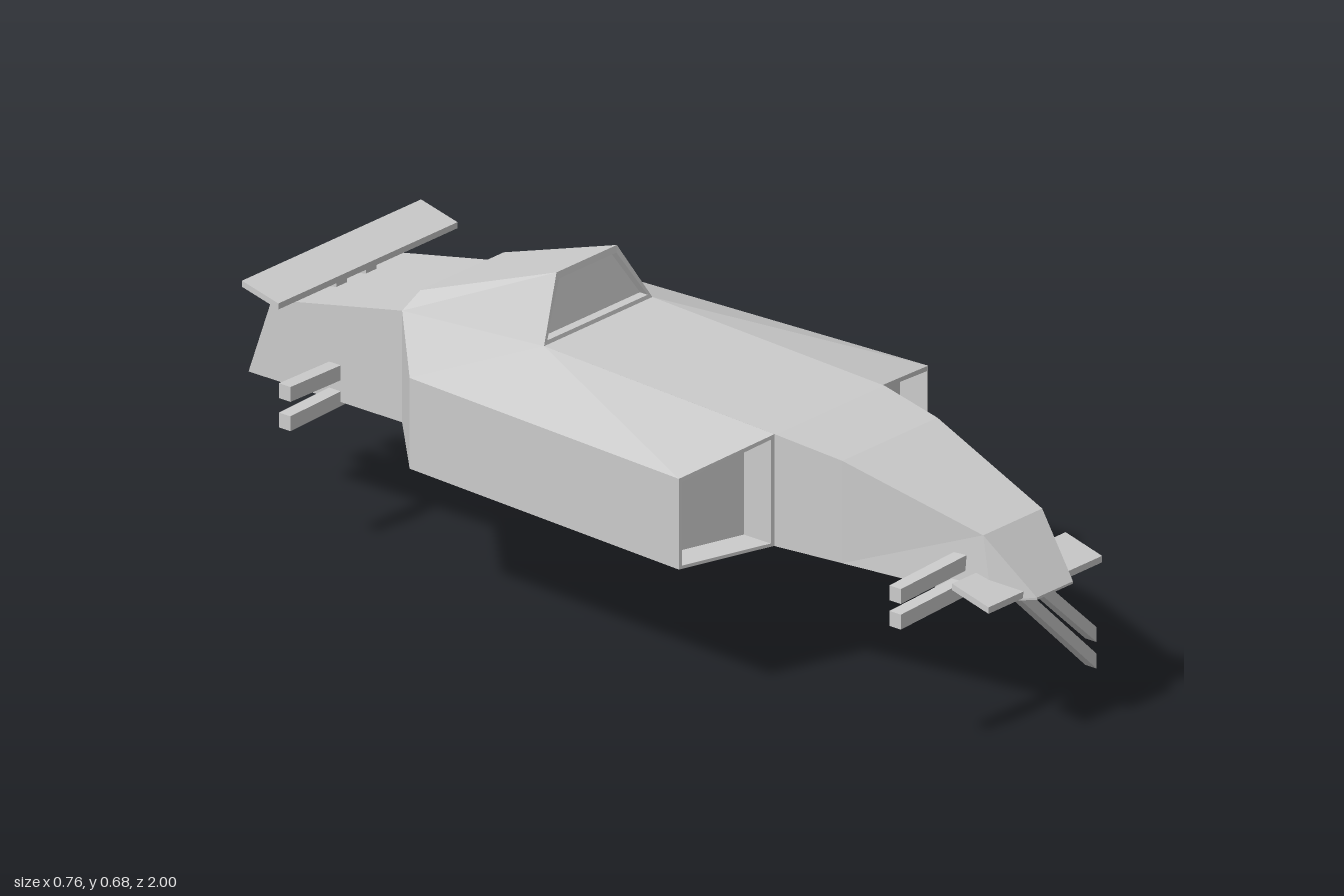
import * as THREE from 'three';

const material = new THREE.MeshStandardMaterial({ color: 0xcccccc, flatShading: true });

// Skins a list of rings (counter-clockwise seen from the front) and caps both ends.
// side = -1 mirrors the part across x.
function loft(name, rings, side = 1) {
  const positions = [];
  const addFace = (pts) => {
    for (let i = 1; i < pts.length - 1; i++) {
      const tri = [pts[0], pts[i], pts[i + 1]].map(([x, y, z]) => new THREE.Vector3(side * x, y, z));
      if (side < 0) tri.reverse();
      if (new THREE.Triangle(...tri).getArea() < 1e-7) continue;
      tri.forEach((v) => positions.push(v.x, v.y, v.z));
    }
  };
  addFace(rings[0]);
  for (let k = 0; k < rings.length - 1; k++) {
    const r = rings[k], q = rings[k + 1], n = r.length;
    for (let i = 0; i < n; i++) {
      const j = (i + 1) % n;
      addFace([r[i], q[i], q[j], r[j]]);
    }
  }
  addFace([...rings[rings.length - 1]].reverse());
  const geometry = new THREE.BufferGeometry();
  geometry.setAttribute('position', new THREE.Float32BufferAttribute(positions, 3));
  geometry.computeVertexNormals();
  const mesh = new THREE.Mesh(geometry, material);
  mesh.name = name;
  return mesh;
}

// Symmetric four-point ring: bottom and top edges given as [half width, y, z].
const ring = ([wb, yb, zb], [wt, yt, zt]) => [[-wb, yb, zb], [wb, yb, zb], [wt, yt, zt], [-wt, yt, zt]];

// Sideways bar with vertical ends, running from (x0, y0) to (x1, y1).
function bar(name, x0, y0, x1, y1, z, side) {
  const h = 0.016, d = 0.015;
  const outline = (zz) => [[x0, y0 - h, zz], [x1, y1 - h, zz], [x1, y1 + h, zz], [x0, y0 + h, zz]];
  return loft(name, [outline(z + d), outline(z - d)], side);
}

// Thin tilted plate spanning both sides.
function plate(name, w, t, [z0, y0], [z1, y1]) {
  return loft(name, [
    ring([w, y0 - t, z0], [w, y0, z0]),
    ring([w, y1 - t, z1], [w, y1, z1]),
  ]);
}

export function createModel() {
  const model = new THREE.Group();
  model.name = 'hoverVehicle';

  // Central hull, nose to tail
  model.add(loft('hull', [
    ring([0.055, 0.3, 1], [0.055, 0.305, 1]),
    ring([0.1, 0.29, 0.92], [0.09, 0.42, 0.89]),
    ring([0.145, 0.29, 0.57], [0.145, 0.51, 0.57]),
    ring([0.165, 0.29, 0.415], [0.165, 0.53, 0.415]),
    ring([0.165, 0.29, -0.19], [0.165, 0.555, -0.19]),
    ring([0.165, 0.29, -0.56], [0.165, 0.53, -0.56]),
    ring([0.165, 0.29, -0.96], [0.165, 0.46, -0.9]),
  ]));

  // Canopy with a recessed front window
  model.add(loft('canopy', [
    ring([0.153, 0.563, -0.212], [0.087, 0.668, -0.237]),
    ring([0.153, 0.563, -0.192], [0.087, 0.668, -0.217]),
    ring([0.165, 0.555, -0.19], [0.092, 0.682, -0.22]),
    ring([0.165, 0.53, -0.56], [0.127, 0.566, -0.545]),
  ]));

  // Side pods with recessed intakes on a slanted front
  const frontZ = (x) => 0.41 - (x - 0.165) * 0.302;
  const intake = (depth) => [[0.173, 0.297], [0.373, 0.297], [0.373, 0.476], [0.173, 0.52]]
    .map(([x, y]) => [x, y, frontZ(x) - depth]);
  for (const side of [1, -1]) {
    model.add(loft('sidePod', [
      intake(0.07),
      intake(0),
      [[0.165, 0.29, 0.41], [0.38, 0.29, 0.345], [0.38, 0.485, 0.345], [0.165, 0.53, 0.41]],
      [[0.165, 0.29, -0.19], [0.335, 0.29, -0.395], [0.335, 0.485, -0.395], [0.165, 0.555, -0.19]],
      [[0.165, 0.29, -0.56], [0.165, 0.29, -0.56], [0.165, 0.53, -0.56], [0.165, 0.53, -0.56]],
    ], side));

    // Rear paired bars
    model.add(bar('rearBarUpper', 0, 0.35, 0.318, 0.355, -0.735, side));
    model.add(bar('rearBarLower', 0, 0.302, 0.318, 0.292, -0.735, side));

    // Exhaust under the tail
    const exhaustRing = (yb, yt, z) => [[0.027, yb, z], [0.063, yb, z], [0.063, yt, z], [0.027, yt, z]];
    model.add(loft('exhaust', [
      exhaustRing(0.29, 0.295, -0.83),
      exhaustRing(0.255, 0.295, -0.9),
      exhaustRing(0.253, 0.286, -1),
    ], side));

    // Spoiler struts
    const strut = new THREE.Mesh(new THREE.BoxGeometry(0.032, 0.06, 0.03), material);
    strut.name = 'spoilerStrut';
    strut.position.set(side * 0.045, 0.49, -0.835);
    model.add(strut);
  }

  // Front paired bars: level on the right, swung down on the left
  model.add(bar('frontBarUpper', 0.03, 0.358, 0.3, 0.346, 0.84, -1));
  model.add(bar('frontBarLower', 0.03, 0.303, 0.3, 0.291, 0.84, -1));
  model.add(bar('loweredBarUpper', 0.03, 0.32, 0.297, 0.073, 0.84, 1));
  model.add(bar('loweredBarLower', 0, 0.3, 0.297, 0.016, 0.84, 1));

  // Nose wing and rear spoiler
  model.add(plate('noseWing', 0.173, 0.014, [0.975, 0.315], [0.88, 0.34]));
  model.add(plate('spoiler', 0.273, 0.013, [-0.79, 0.517], [-0.885, 0.54]));
  return model;
}
